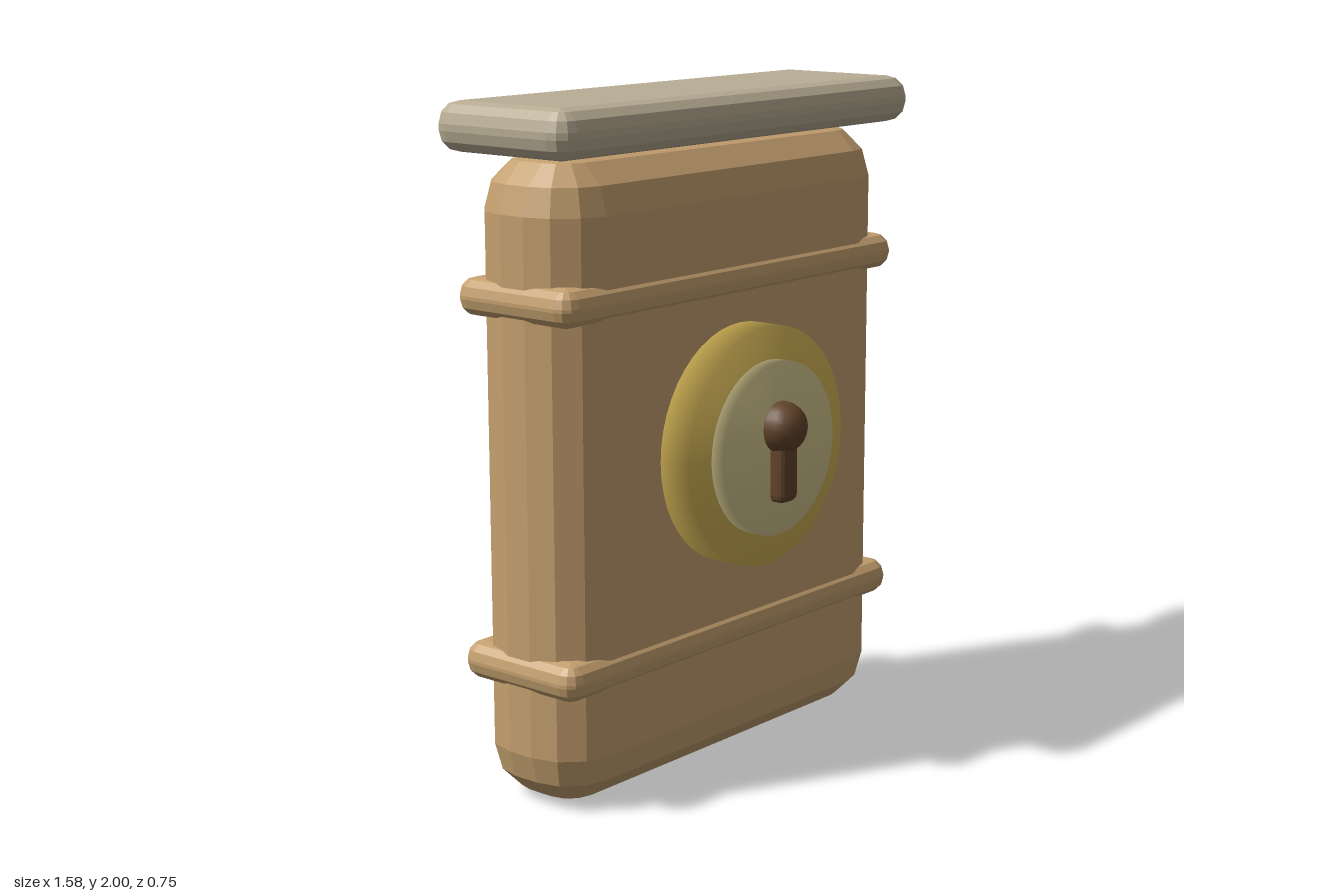
import * as THREE from 'three';
import { ConvexGeometry } from 'three/addons/geometries/ConvexGeometry.js';
import { mergeVertices } from 'three/addons/utils/BufferGeometryUtils.js';

const paint = (name, color) => {
  const m = new THREE.MeshStandardMaterial({ color });
  m.name = name;
  return m;
};

// Faceted box with every edge rounded by n flat steps
function bevelBox(w, h, d, r, n = 3) {
  const points = [];
  for (const sx of [-1, 1]) for (const sy of [-1, 1]) for (const sz of [-1, 1]) {
    for (let i = 0; i <= n; i++) for (let j = 0; j <= (i === n ? 0 : n); j++) {
      const up = (i / n) * Math.PI / 2, turn = (j / n) * Math.PI / 2;
      points.push(new THREE.Vector3(
        sx * (w / 2 - r + r * Math.cos(up) * Math.cos(turn)),
        sy * (h / 2 - r + r * Math.sin(up)),
        sz * (d / 2 - r + r * Math.cos(up) * Math.sin(turn))));
    }
  }
  return new ConvexGeometry(points);
}

// Disc facing +z whose rim and faces share smooth normals
function softDisc(radius, depth) {
  const g = new THREE.CylinderGeometry(radius, radius, depth, 48).rotateX(Math.PI / 2);
  g.deleteAttribute('normal');
  g.deleteAttribute('uv');
  const merged = mergeVertices(g, 1e-4);
  merged.computeVertexNormals();
  return merged;
}

export function createModel() {
  const group = new THREE.Group();
  const tan = paint('tan', 0xc4a06f);
  const stone = paint('stone', 0xb9ad95);
  const brass = paint('brass', 0xd2b356);
  const paleBrass = paint('pale brass', 0xd0c38c);
  const brown = paint('dark brown', 0x62432a);

  const add = (name, geometry, material, x, y, z) => {
    const mesh = new THREE.Mesh(geometry, material);
    mesh.name = name;
    mesh.position.set(x, y, z);
    group.add(mesh);
    return mesh;
  };

  // Case with its two raised straps and flat lid
  add('body', bevelBox(1.465, 1.855, 0.405, 0.16), tan, 0, 0.9325, -0.06);
  for (const [name, y] of [['upperBand', 1.46], ['lowerBand', 0.408]]) {
    add(name, bevelBox(1.5, 0.11, 0.435, 0.05), tan, 0, y, -0.06);
  }
  add('lid', bevelBox(1.58, 0.14, 0.497, 0.06), stone, 0, 1.93, -0.062);

  // Stepped lock plate
  add('lockPlate', softDisc(0.355, 0.12), brass, 0, 0.977, 0.188);
  add('lockFace', softDisc(0.257, 0.06), paleBrass, 0, 0.977, 0.26);

  // Keyhole: round head and slot
  add('keyholeHead', new THREE.SphereGeometry(0.076, 16, 12), brown, 0, 1.043, 0.299);
  add('keyholeSlot', bevelBox(0.08, 0.24, 0.08, 0.022), brown, 0, 0.942, 0.296);

  // Latch stub on the back
  add('backLatch', new THREE.BoxGeometry(0.055, 0.16, 0.135), brass, 0, 0.91, -0.3075);

  return group;
}
